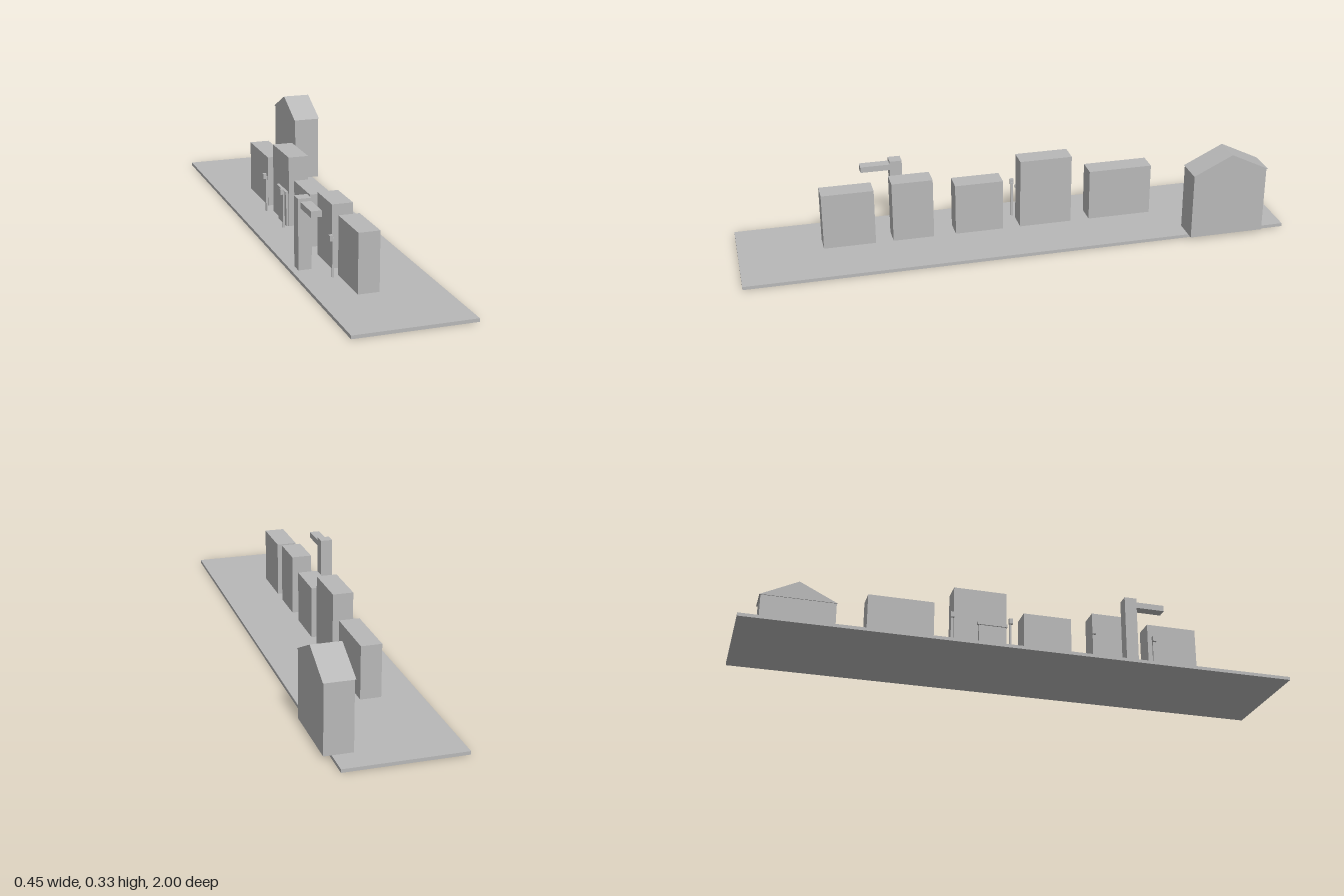
import * as THREE from 'three';

export function createModel() {
  const model = new THREE.Group();
  const grey = new THREE.MeshStandardMaterial({ color: 0xb8b8b8 });
  grey.name = 'grey';

  // Box given by its limits on each axis
  function block(name, [x0, x1], [y0, y1], [z0, z1], parent = model) {
    const mesh = new THREE.Mesh(new THREE.BoxGeometry(x1 - x0, y1 - y0, z1 - z0), grey);
    mesh.position.set((x0 + x1) / 2, (y0 + y1) / 2, (z0 + z1) / 2);
    mesh.name = name;
    parent.add(mesh);
    return mesh;
  }

  // Ground slab
  const ground = 0.012;
  block('platform', [-0.227, 0.196], [0, ground], [-1, 1]);

  // Row of cabinets: back z, front z, top
  const cabinets = [
    [0.503, 0.693, 0.222],
    [0.287, 0.438, 0.24],
    [0.025, 0.205, 0.206],
    [-0.236, -0.04, 0.276],
    [-0.547, -0.307, 0.206],
  ];
  cabinets.forEach(([z0, z1, top], i) =>
    block(`cabinet${i + 1}`, [-0.091, -0.016], [ground, top], [z0, z1]));

  // Door panel and canopy on the tallest cabinet
  block('doorPanel', [-0.1, -0.091], [ground, 0.137], [-0.145, -0.045]);
  block('doorCanopy', [-0.105, -0.094], [0.135, 0.146], [-0.15, -0.04]);

  // Column with an arm reaching forward
  block('column', [-0.204, -0.158], [ground, 0.265], [0.375, 0.42]);
  block('columnArm', [-0.196, -0.158], [0.232, 0.254], [0.42, 0.529]);

  // Small posts with a head on the outer side
  [-0.248, -0.033, 0.282, 0.516].forEach((z, i) => {
    const post = new THREE.Group();
    post.name = `post${i + 1}`;
    block('postPole', [-0.118, -0.111], [ground, 0.15], [z - 0.004, z + 0.004], post);
    block('postHead', [-0.128, -0.116], [0.141, 0.161], [z - 0.007, z + 0.007], post);
    model.add(post);
  });

  // House with a gabled roof, ridge along x
  block('houseWalls', [0.123, 0.223], [ground, 0.26], [-0.905, -0.627]);
  const gable = new THREE.Shape([
    new THREE.Vector2(0.625, 0.26),
    new THREE.Vector2(0.91, 0.26),
    new THREE.Vector2(0.768, 0.33),
  ]);
  const roofGeometry = new THREE.ExtrudeGeometry(gable, { depth: 0.106, bevelEnabled: false });
  roofGeometry.rotateY(Math.PI / 2);
  const roof = new THREE.Mesh(roofGeometry, grey);
  roof.position.x = 0.12;
  roof.name = 'houseRoof';
  model.add(roof);

  return model;
}
